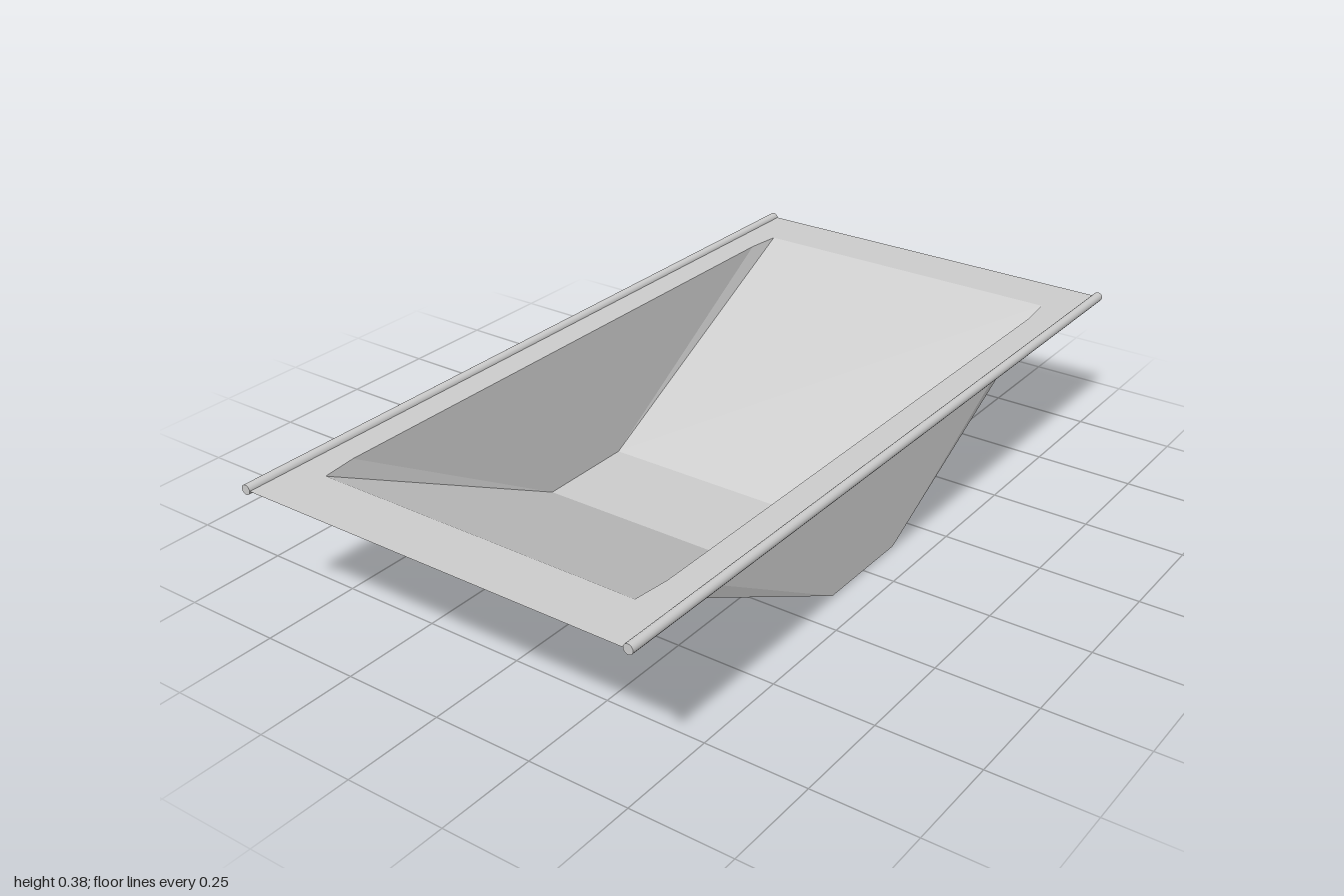
import * as THREE from 'three';

const RIM_Y = 0.371, ROD_R = 0.012, ROD_Z = 0.511;

// corner points [x, z] mirrored into a full ring around the y axis
function ring(a, b) {
  const mir = (p, sx, sz) => [p[0] * sx, p[1] * sz];
  return [
    mir(a, 1, 1), mir(b, 1, 1), mir(b, -1, 1), mir(a, -1, 1),
    mir(a, -1, -1), mir(b, -1, -1), mir(b, 1, -1), mir(a, 1, -1),
  ];
}

export function createModel() {
  const group = new THREE.Group();
  const sheet = new THREE.MeshStandardMaterial({ color: 0xcccccc, side: THREE.DoubleSide, flatShading: true });
  const solid = new THREE.MeshStandardMaterial({ color: 0xcccccc });
  const add = (name, geometry, material) => {
    const mesh = new THREE.Mesh(geometry, material);
    mesh.name = name;
    group.add(mesh);
    return mesh;
  };

  const opening = ring([0.86, 0.418], [0.77, 0.428]);
  const floor = ring([0.135, 0.418], [0.135, 0.418]);

  // flat rim with the pan's opening cut out
  const rim = new THREE.Shape([
    [-1, -ROD_Z], [1, -ROD_Z], [1, ROD_Z], [-1, ROD_Z],
  ].map(p => new THREE.Vector2(...p)));
  rim.holes.push(new THREE.Path(opening.map(p => new THREE.Vector2(...p))));
  add('rim', new THREE.ShapeGeometry(rim).rotateX(-Math.PI / 2).translate(0, RIM_Y, 0), sheet);

  // sloping pan walls, from the opening down to the small floor
  const pos = [];
  const same = (p, q) => p[0] === q[0] && p[1] === q[1];
  for (let i = 0; i < 8; i++) {
    const j = (i + 1) % 8;
    const t0 = [opening[i][0], RIM_Y, opening[i][1]], t1 = [opening[j][0], RIM_Y, opening[j][1]];
    const f0 = [floor[i][0], 0, floor[i][1]], f1 = [floor[j][0], 0, floor[j][1]];
    pos.push(...t0, ...t1, ...f0);
    if (!same(floor[i], floor[j])) pos.push(...t1, ...f1, ...f0);
  }
  const walls = new THREE.BufferGeometry();
  walls.setAttribute('position', new THREE.Float32BufferAttribute(pos, 3));
  // ring order runs front to left, so flip the corners to face outward
  const order = [];
  for (let k = 0; k < pos.length / 3; k += 3) order.push(k, k + 2, k + 1);
  walls.setIndex(order);
  const flatWalls = walls.toNonIndexed();
  flatWalls.computeVertexNormals();
  add('panWalls', flatWalls, sheet);

  // pan floor
  add('panFloor', new THREE.PlaneGeometry(0.27, 0.836).rotateX(Math.PI / 2), sheet);

  // rods along the two long edges
  for (const [name, s] of [['frontRod', 1], ['backRod', -1]]) {
    const rod = new THREE.CylinderGeometry(ROD_R, ROD_R, 2, 16).rotateZ(Math.PI / 2);
    add(name, rod, solid).position.set(0, RIM_Y, s * ROD_Z);
  }
  return group;
}
